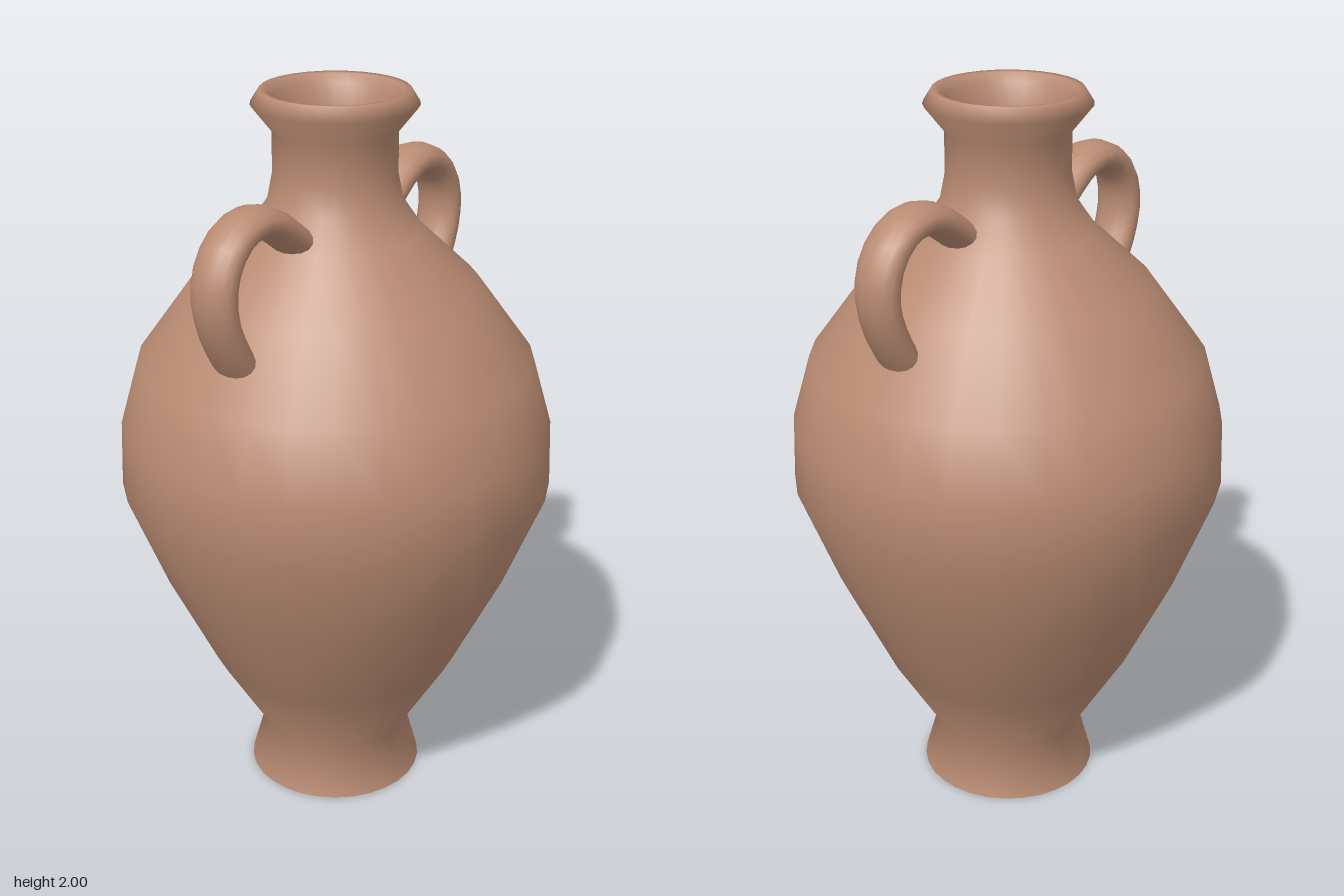
import * as THREE from 'three';

const terracotta = new THREE.MeshStandardMaterial({ color: 0xb98b72 });
terracotta.name = 'terracotta';

// Vessel wall, turned from the underside up the outside, over the lip and down the inside
function makeVessel() {
  const profile = [
    [0, 0], [0.246, 0], [0.246, 0], // doubled point keeps the foot edge sharp
    [0.206, 0.145], [0.35, 0.385], [0.482, 0.66], [0.588, 0.93], [0.582, 1.11],
    [0.532, 1.285], [0.383, 1.49], [0.23, 1.635], [0.178, 1.71], [0.163, 1.785],
    [0.163, 1.895], [0.217, 1.963], [0.194, 2.0], [0.178, 1.998], [0.163, 1.975],
    [0.133, 1.9], [0.131, 1.76], [0.19, 1.62], [0.34, 1.48], [0.48, 1.28],
    [0.535, 1.1], [0.535, 0.94], [0.44, 0.67], [0.3, 0.4], [0.15, 0.2], [0, 0.15],
  ].map(([r, y]) => new THREE.Vector2(r, y));
  const geometry = new THREE.LatheGeometry(profile, 30);

  // Neck and foot sit slightly off the belly's axis
  const p = geometry.attributes.position;
  for (let i = 0; i < p.count; i++) {
    const shift = -0.01 * Math.min(1, Math.abs(p.getY(i) - 1) / 0.7);
    p.setX(i, p.getX(i) + shift);
    p.setZ(i, p.getZ(i) + shift);
  }
  const mesh = new THREE.Mesh(geometry, terracotta);
  mesh.name = 'vessel';
  return mesh;
}

// Strap handle: a round tube widened sideways, ends sunk into the shoulder
function makeHandle(name, turn) {
  const path = new THREE.CatmullRomCurve3([
    [1.635, 0.165], [1.685, 0.23], [1.73, 0.3], [1.742, 0.37], [1.715, 0.44], [1.655, 0.488],
    [1.58, 0.502], [1.505, 0.486], [1.41, 0.437], [1.375, 0.41],
  ].map(([y, z]) => new THREE.Vector3(0, y, z)));
  const geometry = new THREE.TubeGeometry(path, 16, 0.042, 16);
  geometry.scale(1.57, 1, 1);
  const mesh = new THREE.Mesh(geometry, terracotta);
  mesh.name = name;
  mesh.rotation.y = turn;
  return mesh;
}

export function createModel() {
  const group = new THREE.Group();
  group.name = 'amphora';
  group.add(makeVessel(), makeHandle('frontHandle', 0), makeHandle('backHandle', Math.PI));
  return group;
}
